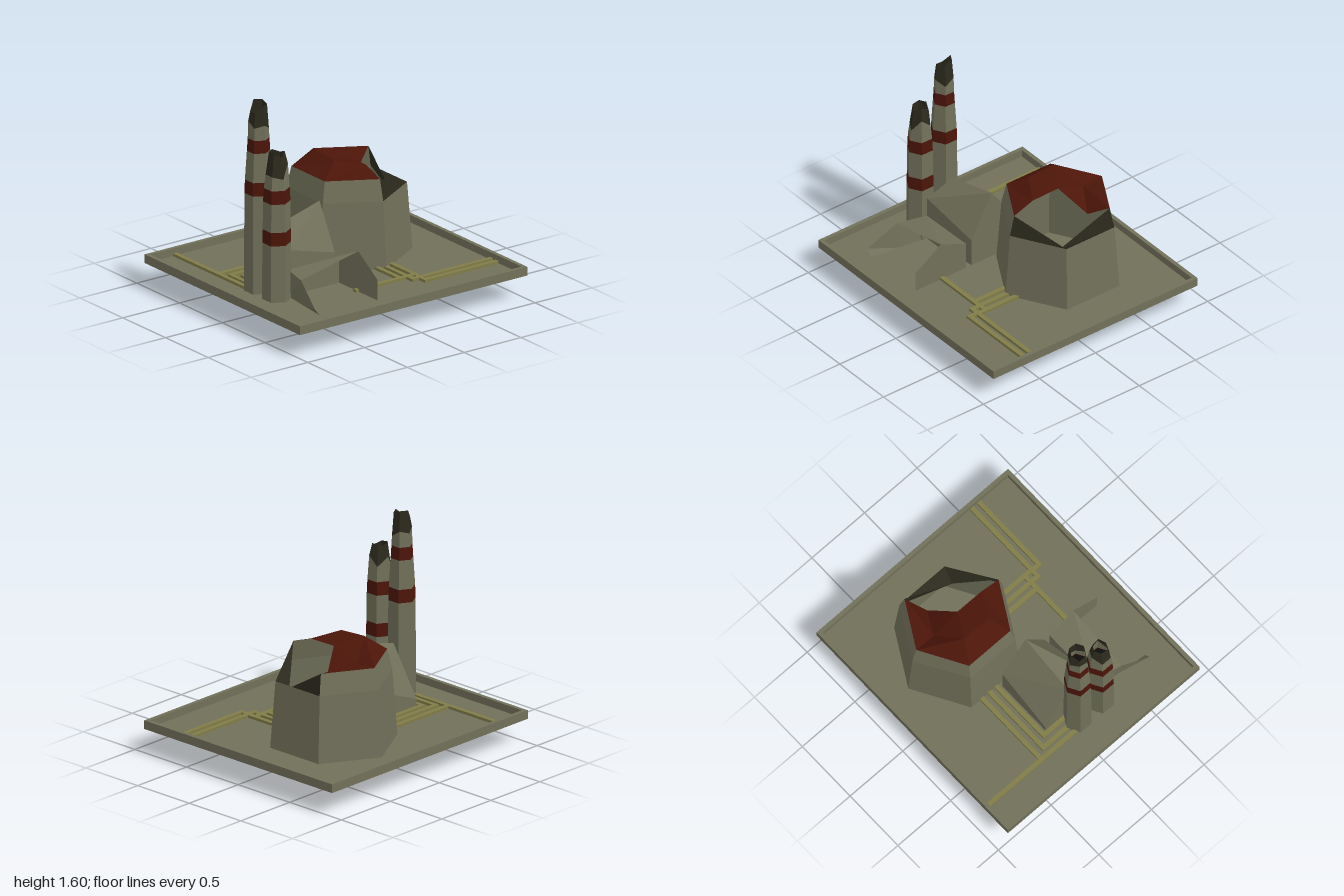
import * as THREE from 'three';

const paint = (color) => new THREE.MeshStandardMaterial({ color, flatShading: true, side: THREE.DoubleSide });
const concrete = paint(0x71705a), red = paint(0x4c1509), soot = paint(0x2c2a1d);
const black = paint(0x0c0c0c), pipeYellow = paint(0x807c48);
const FLOOR = 0.188;

// Mesh from a few flat polygons, each a list of corner points
function panels(name, faces, material) {
  const pos = [];
  for (const f of faces)
    for (let i = 1; i < f.length - 1; i++) pos.push(...f[0], ...f[i], ...f[i + 1]);
  const geo = new THREE.BufferGeometry();
  geo.setAttribute('position', new THREE.Float32BufferAttribute(pos, 3));
  geo.computeVertexNormals();
  const mesh = new THREE.Mesh(geo, material);
  mesh.name = name;
  return mesh;
}

// Box given by its limits
function block(name, x0, x1, y0, y1, z0, z1, material) {
  const mesh = new THREE.Mesh(new THREE.BoxGeometry(x1 - x0, y1 - y0, z1 - z0), material);
  mesh.position.set((x0 + x1) / 2, (y0 + y1) / 2, (z0 + z1) / 2);
  mesh.name = name;
  return mesh;
}

// Six points, first one towards +z, going round by +x; y may be a number or six heights
const hexRing = (cx, cz, r, y) => Array.from({ length: 6 }, (_, k) => {
  const a = k * Math.PI / 3;
  return [cx + r * Math.sin(a), Array.isArray(y) ? y[k] : y, cz + r * Math.cos(a)];
});

// Quads joining two rings
const band = (lo, hi) => lo.map((p, k) => {
  const n = (k + 1) % lo.length;
  return [p, lo[n], hi[n], hi[k]];
});

function createBase() {
  const g = new THREE.Group();
  g.name = 'base';
  g.add(block('floorSlab', -1, 1, 0.178, FLOOR, -0.91, 0.91, concrete));
  for (const s of [-1, 1]) {
    const x = [s * 0.97, s].sort((a, b) => a - b), z = [s * 0.88, s * 0.91].sort((a, b) => a - b);
    g.add(block('sideRim', ...x, FLOOR, 0.243, -0.91, 0.91, concrete));
    g.add(block('endRim', -0.97, 0.97, FLOOR, 0.243, ...z, concrete));
  }
  return g;
}

function createReactor() {
  const g = new THREE.Group();
  g.name = 'reactor';
  const cx = 0.27, cz = -0.235;
  const foot = hexRing(cx, cz, 0.467, FLOOR);
  const waist = hexRing(cx, cz, 0.428, 0.685);
  const top = hexRing(cx, cz, 0.391, 0.84);
  top[1] = [0.53, 0.61, -0.05]; // caved-in corner
  g.add(panels('lowerWall', band(foot, waist), concrete));

  // Upper wall, the caved faces folded inwards and blackened
  g.add(panels('upperWall', band(waist, top).slice(2), concrete));
  g.add(panels('cavedWall', [
    [waist[0], waist[1], top[0]], [waist[1], top[1], top[0]],
    [waist[1], waist[2], top[1]], [waist[2], top[2], top[1]],
  ], soot));

  // Broken dome, missing its front right part
  const inner = hexRing(cx, cz, 0.225, [0.9, 0, 0.745, 0.83, 0.955, 0.94]);
  const crown = [cx, 0.905, cz];
  const dome = [];
  for (let k = 2; k < 6; k++) {
    const n = (k + 1) % 6;
    dome.push([top[k], top[n], inner[n]], [top[k], inner[n], inner[k]], [inner[k], inner[n], crown]);
  }
  g.add(panels('brokenDome', dome, red));
  return g;
}

// Hexagonal stack; levels are [height, radius], painted alternately concrete and red
function createChimney(name, z, levels, sootLine, rim, rimRadius) {
  const g = new THREE.Group();
  g.name = name;
  const rings = levels.map(([y, r]) => hexRing(-0.7, z, r, y));
  for (let i = 0; i < rings.length - 1; i++)
    g.add(panels(i % 2 ? 'redBand' : 'shaft', band(rings[i], rings[i + 1]), i % 2 ? red : concrete));
  const [lastY, lastR] = levels[levels.length - 1];
  const mid = hexRing(-0.7, z, (lastR + rimRadius) / 2 + 0.005, sootLine);
  g.add(panels('upperShaft', band(rings[rings.length - 1], mid), concrete));
  g.add(panels('sootyTop', band(mid, hexRing(-0.7, z, rimRadius, rim)), soot));
  g.add(panels('flueBottom', [hexRing(-0.7, z, lastR - 0.004, lastY)], black));
  return g;
}

function createTiltedHall() {
  // Corners of the two end walls: ridge, front eave, front foot, back foot, back eave
  const a = [[0.61, 0.02], [0.53, 0.245], [0.18, 0.245], [0, -0.2], [0.25, -0.2]].map(([y, z]) => [-0.61, y, z]);
  const b = [[0.735, 0.02], [0.4, 0.2], [0.04, 0.2], [0.105, -0.2], [0.43, -0.2]].map(([y, z]) => [-0.16, y, z]);
  return panels('tiltedHall', [a, [...b].reverse(), ...band(b, a)], concrete);
}

function createAnnex() {
  const g = new THREE.Group();
  g.name = 'ruinedAnnex';
  const ridgeR = [-0.16, 0.49, 0.475], ridgeL = [-0.665, 0.385, 0.475];
  const eaveR = [-0.16, 0.395, 0.25], eaveL = [-0.61, 0.385, 0.25];
  const backR = [-0.16, FLOOR, 0.25], backL = [-0.61, FLOOR, 0.25];
  const frontR = [-0.16, FLOOR, 0.7], frontL = [-0.665, FLOOR, 0.7], midL = [-0.64, FLOOR, 0.475];
  g.add(panels('annexRoof', [[eaveL, ridgeL, ridgeR], [eaveL, ridgeR, eaveR]], concrete));
  g.add(panels('rightWall', [[backR, eaveR, ridgeR, [-0.16, 0.34, 0.7], frontR]], concrete));
  g.add(panels('leaningWall', [
    [backL, midL, ridgeL, eaveL],
    [midL, frontL, [-0.71, 0.24, 0.7], ridgeL],
  ], concrete));
  g.add(panels('backWall', [[backL, backR, eaveR, eaveL]], concrete));
  return g;
}

function createPipes() {
  const g = new THREE.Group();
  g.name = 'pipes';
  const w = 0.017;
  // Each run is a list of [x, z] corners
  const runs = [
    [[-0.757, -0.87], [-0.757, 0]],
    [[-0.757, -0.37], [-0.11, -0.37]],
    [[-0.11, -0.3], [-0.7, -0.3], [-0.7, -0.06]],
    [[-0.11, -0.235], [-0.633, -0.235], [-0.633, -0.02]],
    [[0.213, 0.1], [0.213, 0.467], [-0.17, 0.467]],
    [[0.213, 0.467], [0.325, 0.467]],
    [[0.275, 0.04], [0.275, 0.533], [0.335, 0.533], [0.335, 0.6], [0.95, 0.6]],
    [[0.34, 0.04], [0.34, 0.533], [0.95, 0.533]],
  ];
  for (const run of runs)
    for (let i = 0; i < run.length - 1; i++) {
      const [p, q] = [run[i], run[i + 1]];
      g.add(block('pipe', Math.min(p[0], q[0]) - w, Math.max(p[0], q[0]) + w, FLOOR - 0.005, FLOOR + 0.02,
        Math.min(p[1], q[1]) - w, Math.max(p[1], q[1]) + w, pipeYellow));
    }
  return g;
}

export function createModel() {
  const model = new THREE.Group();
  model.name = 'ruinedPowerPlant';
  model.add(createBase(), createReactor(), createTiltedHall(), createAnnex(), createPipes());
  model.add(createChimney('tallChimney', 0.025,
    [[FLOOR, 0.104], [0.92, 0.1], [1.02, 0.097], [1.235, 0.083], [1.33, 0.077]],
    [1.44, 1.4, 1.45, 1.43, 1.46, 1.42], [1.58, 1.58, 1.6, 1.6, 1.53, 1.53], 0.06));
  model.add(createChimney('shortChimney', 0.238,
    [[FLOOR, 0.104], [0.61, 0.102], [0.71, 0.1], [0.92, 0.097], [1.02, 0.092]],
    [1.1, 1.2, 1.13, 1.2, 1.12, 1.12], [1.26, 1.29, 1.27, 1.29, 1.29, 1.28], 0.056));
  return model;
}
